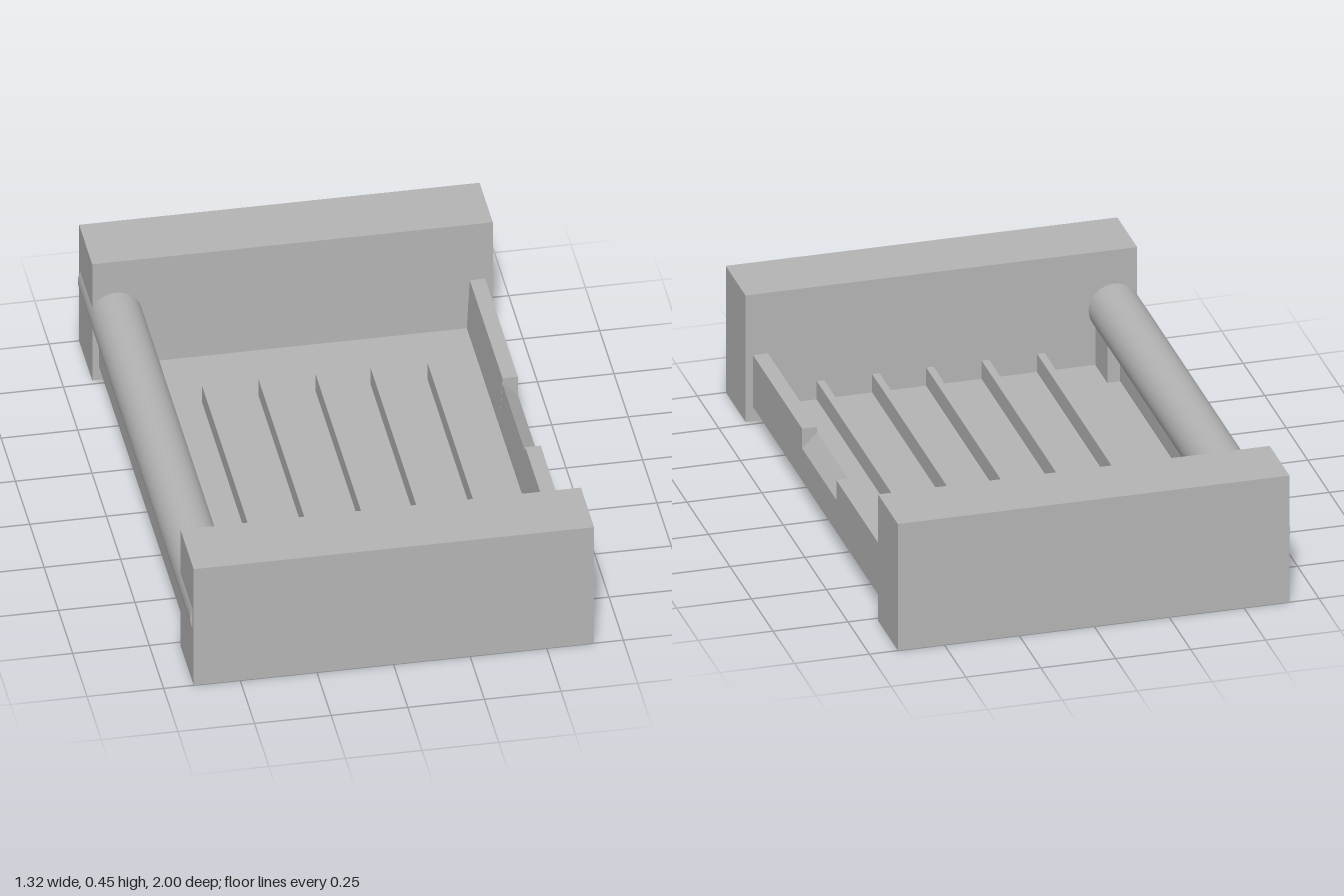
import * as THREE from 'three';

export function createModel() {
  const model = new THREE.Group();
  const grey = new THREE.MeshStandardMaterial({ color: 0xb4b4b4 });
  grey.name = 'plain grey';

  function add(name, geometry, x = 0, y = 0, z = 0) {
    const mesh = new THREE.Mesh(geometry, grey);
    mesh.name = name;
    mesh.position.set(x, y, z);
    model.add(mesh);
    return mesh;
  }
  const extrude = (points, depth) => new THREE.ExtrudeGeometry(
    new THREE.Shape(points.map(([x, y]) => new THREE.Vector2(x, y))),
    { depth, bevelEnabled: false });

  const inner = 0.77, floorY = 0.05, notch = 0.2;

  // End blocks
  for (const [name, side] of [['frontBlock', 1], ['backBlock', -1]])
    add(name, new THREE.BoxGeometry(1.307, 0.45, 0.23), 0.0015, 0.225, side * 0.885);

  // Tray cross-section: bevelled underside, low left wall, tall right wall
  const tray = (rimInner, rimOuter) => [
    [-0.59, 0], [0.58, 0], [0.63, 0.05], [0.63, rimOuter], [0.58, rimInner],
    [0.57, floorY], [-0.555, floorY], [-0.555, 0.2], [-0.63, 0.2], [-0.63, 0.05],
  ];
  add('trayBack', extrude(tray(0.235, 0.235), inner - notch), 0, 0, -inner);
  add('trayNotch', extrude(tray(0.215, 0.165), 2 * notch), 0, 0, -notch);
  add('trayFront', extrude(tray(0.235, 0.235), inner - notch), 0, 0, notch);

  // Roller along the left side, running into both blocks
  add('roller', new THREE.CylinderGeometry(0.085, 0.085, 1.96, 48), -0.575, 0.245, 0)
    .rotation.x = Math.PI / 2;

  // Posts holding the roller at each end
  for (const side of [1, -1])
    add('rollerPost', new THREE.BoxGeometry(0.06, 0.16, 0.14), -0.542, 0.13, side * 0.7);

  // Floor ribs, pointed at the back
  const w = 0.0125;
  for (const x of [-0.33, -0.145, 0.04, 0.22, 0.405]) {
    const rib = extrude([[-w, -inner], [w, -inner], [w, 0.51], [0, 0.53], [-w, 0.51]], 0.07);
    add('floorRib', rib, x, floorY - 0.005, 0).rotation.x = -Math.PI / 2;
  }
  return model;
}
